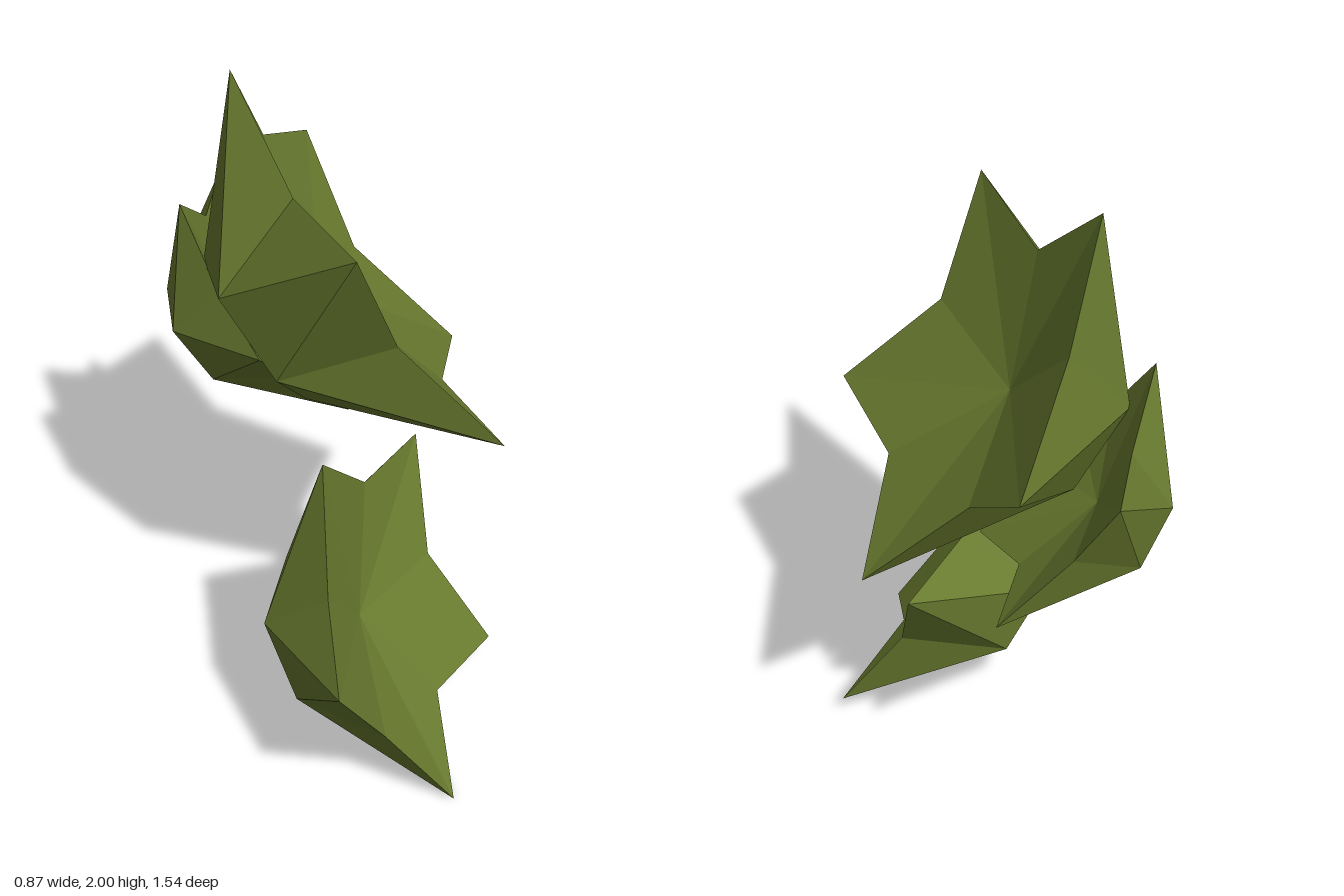
import * as THREE from 'three';

const V = (p) => new THREE.Vector3(...p);
const mean = (pts) => pts.reduce((s, p) => s.add(p), new THREE.Vector3()).divideScalar(pts.length);

// Five-pointed faceted leaf clump: dished star in front, small pentagon behind.
// Tips run counter-clockwise seen from the front; notch i lies between tips i and i+1.
function starGeometry(tipData, notchData) {
  const tips = tipData.map(V), notches = notchData.map(V);
  const middle = mean(tips), notchMiddle = mean(notches);
  const normal = new THREE.Vector3();
  let radius = 0;
  tips.forEach((t, i) => {
    const a = t.clone().sub(middle);
    normal.add(a.clone().cross(tips[(i + 1) % 5].clone().sub(middle)));
    radius += a.length() / 5;
  });
  normal.normalize();

  const centre = middle.clone().addScaledVector(normal, -0.27 * radius);
  const backCentre = notchMiddle.clone().addScaledVector(normal, -0.52 * radius);
  const back = notches.map((p) => p.clone().sub(notchMiddle).multiplyScalar(0.57).add(backCentre));

  const corners = [];
  for (let i = 0; i < 5; i++) {
    const j = (i + 1) % 5;
    corners.push(
      centre, tips[i], notches[i], centre, notches[i], tips[j], // dished front
      notches[i], tips[i], back[i], tips[j], notches[i], back[i], // notch walls
      tips[j], back[i], back[j], // underside of a point
      backCentre, back[j], back[i], // flat back
    );
  }
  const geometry = new THREE.BufferGeometry().setFromPoints(corners);
  geometry.computeVertexNormals();
  return geometry;
}

const stars = {
  upperLeafStar: [
    [[-0.26, 2, -0.28], [-0.2, 1.76, 0.43], [0.22, 1.09, 0.505], [0.44, 0.94, -0.26], [0.17, 1.48, -0.75]],
    [[-0.2, 1.73, 0.01], [-0.04, 1.4, 0.35], [0.22, 1.07, 0.11], [0.18, 1.24, -0.42], [-0.1, 1.68, -0.44]],
  ],
  lowerLeafStar: [
    [[-0.23, 1, 0.26], [-0.41, 0.59, 0.77], [-0.01, 0, 0.7], [0.37, 0.09, 0.18], [0.26, 0.7, -0.14]],
    [[-0.3, 0.67, 0.45], [-0.21, 0.28, 0.65], [0.08, 0.15, 0.4], [0.21, 0.39, 0.06], [-0.01, 0.74, 0.07]],
  ],
  smallRearLeafStar: [
    [[-0.39, 1.55, -0.38], [-0.32, 1.24, 0.03], [0.02, 0.88, -0.11], [0.17, 0.95, -0.6], [-0.11, 1.4, -0.77]],
    [[-0.34, 1.33, -0.23], [-0.18, 1.07, -0.09], [0.01, 0.96, -0.38], [-0.03, 1.17, -0.66], [-0.25, 1.39, -0.54]],
  ],
};

export function createModel() {
  const group = new THREE.Group();
  group.name = 'leafStars';
  const oliveGreen = new THREE.MeshStandardMaterial({ color: 0x6b7d30 });
  oliveGreen.name = 'oliveGreen';
  oliveGreen.flatShading = true;
  for (const [name, [tips, notches]] of Object.entries(stars)) {
    const mesh = new THREE.Mesh(starGeometry(tips, notches), oliveGreen);
    mesh.name = name;
    group.add(mesh);
  }
  return group;
}
